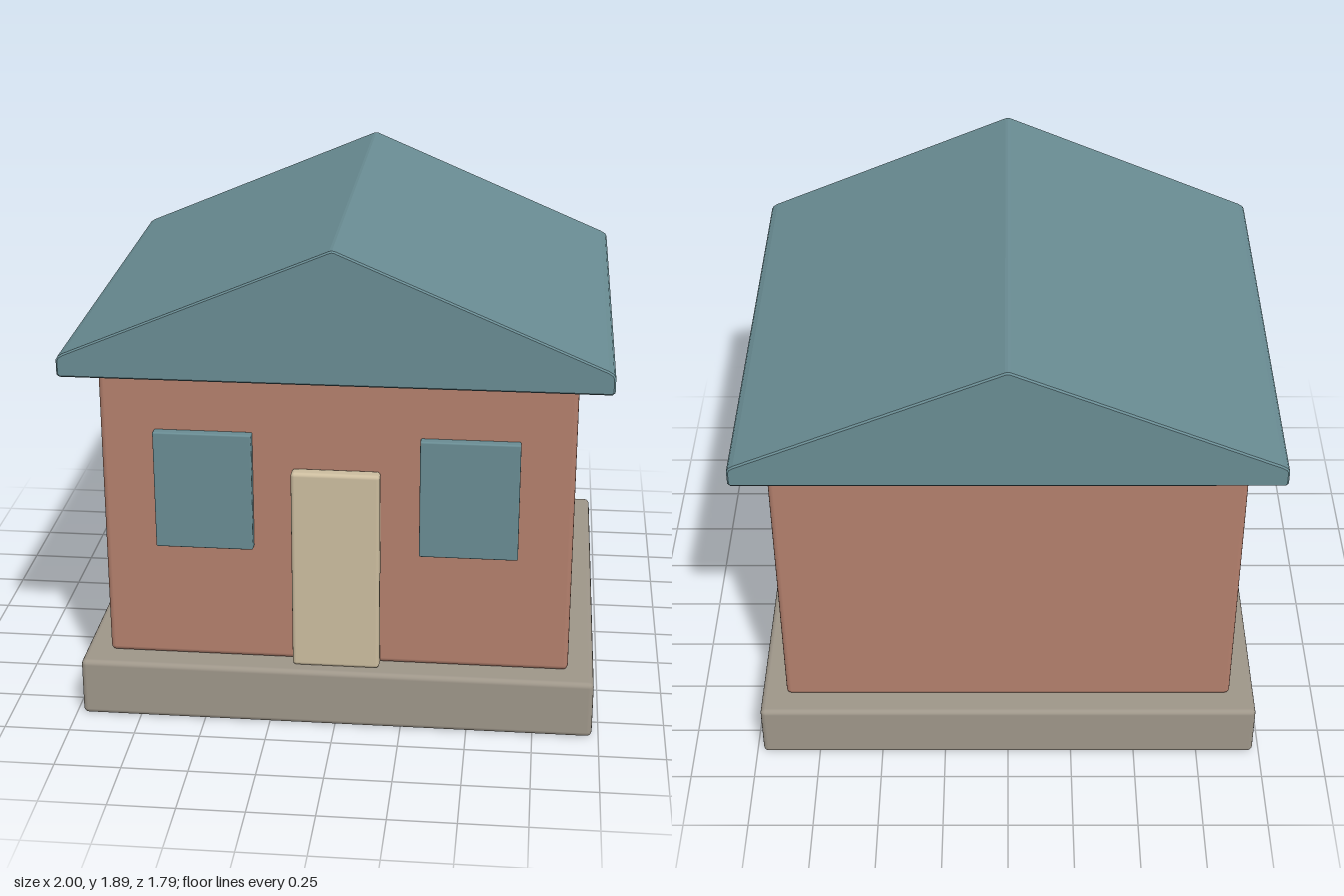
import * as THREE from 'three';
import { RoundedBoxGeometry } from 'three/addons/geometries/RoundedBoxGeometry.js';

function material(name, color) {
  const m = new THREE.MeshStandardMaterial({ color });
  m.name = name;
  return m;
}

export function createModel() {
  const house = new THREE.Group();
  house.name = 'house';

  const slate = material('slateBlue', 0x6a8d94);
  const brick = material('brick', 0xb4806d);
  const cream = material('cream', 0xcdbea0);
  const stone = material('stone', 0x9f978a);

  // Soft-edged box given by its lower and upper corners
  function box(name, mat, [x0, y0, z0], [x1, y1, z1], radius) {
    const geo = new RoundedBoxGeometry(x1 - x0, y1 - y0, z1 - z0, 2, radius);
    const mesh = new THREE.Mesh(geo, mat);
    mesh.position.set((x0 + x1) / 2, (y0 + y1) / 2, (z0 + z1) / 2);
    mesh.name = name;
    house.add(mesh);
  }

  box('foundation', stone, [-0.975, 0, -0.87], [0.975, 0.227, 0.87], 0.02);
  box('walls', brick, [-0.877, 0.227, -0.773], [0.877, 1.39, 0.773], 0.02);
  box('door', cream, [-0.165, 0.227, 0.77], [0.165, 1.02, 0.827], 0.015);

  // Windows either side of the door
  for (const [side, x] of [['left', 0.493], ['right', -0.493]]) {
    box(side + 'Window', slate, [x - 0.183, 0.695, 0.77], [x + 0.183, 1.155, 0.81], 0.006);
  }

  // Gabled roof: bevelled extrusion of the gable with softened eaves
  const half = [[0.99, 1.39], [1, 1.4], [1, 1.455], [0.993, 1.468], [0.975, 1.479], [0.01, 1.888]];
  const outline = [...half, [0, 1.89], ...half.map(([x, y]) => [-x, y]).reverse()];
  const gable = new THREE.Shape(outline.map(([x, y]) => new THREE.Vector2(x, y)));
  const bevel = 0.006, depth = 1.786;
  const roofGeo = new THREE.ExtrudeGeometry(gable, {
    depth: depth - 2 * bevel,
    bevelThickness: bevel,
    bevelSize: bevel,
    bevelOffset: -bevel,
    bevelSegments: 1,
  });
  roofGeo.translate(0, 0, bevel - depth / 2);
  const roof = new THREE.Mesh(roofGeo, slate);
  roof.name = 'roof';
  house.add(roof);

  return house;
}
